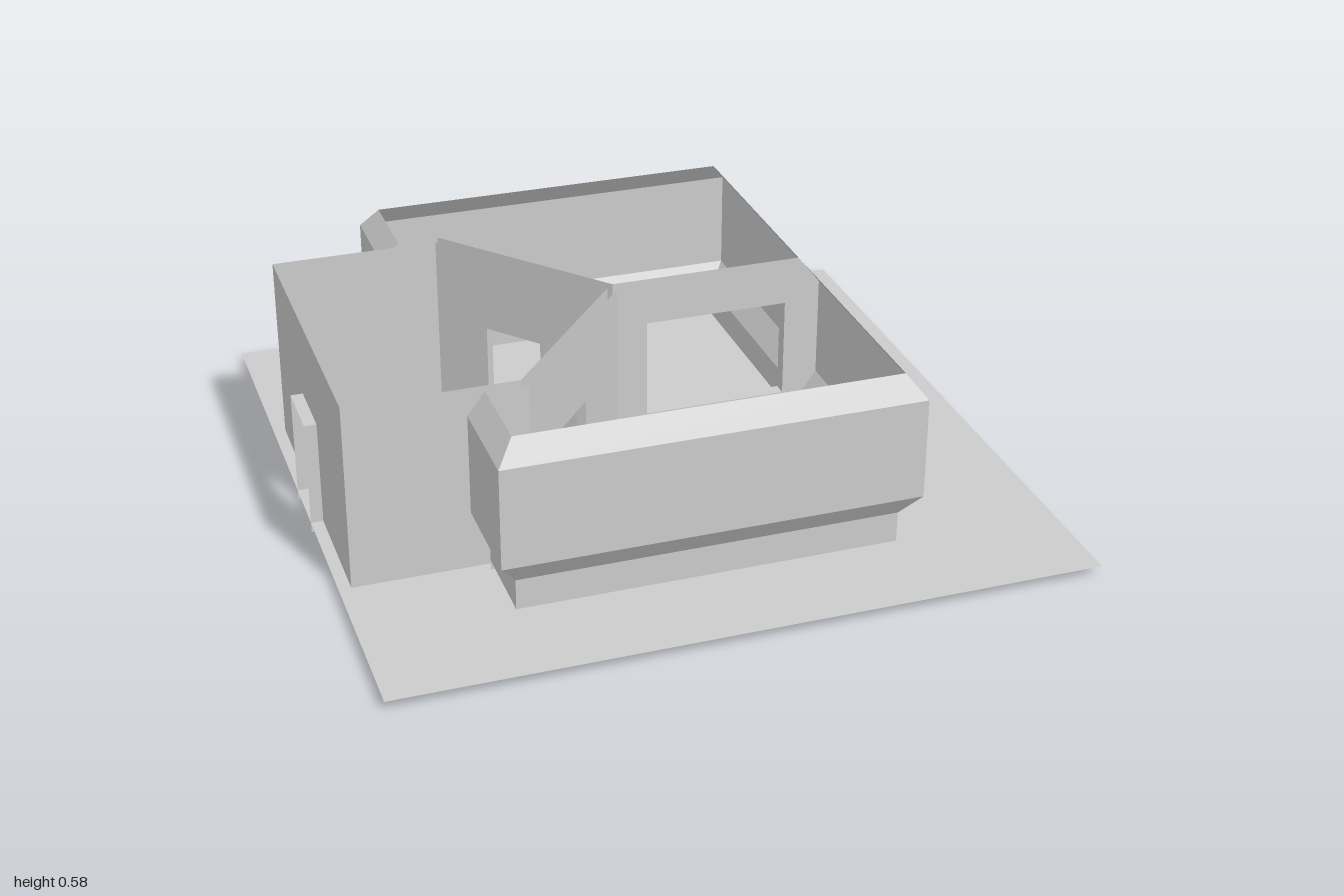
import * as THREE from 'three';

const TOP = 0.58, DOOR = 0.34;
const mat = new THREE.MeshStandardMaterial({ color: 0xcccccc, side: THREE.DoubleSide, flatShading: true });
// Hull cross-section: [inset from the widest outline, height]
const PROFILE = [[0.05, 0.06], [0.05, 0.15], [0, 0.22], [0, 0.515], [0.05, TOP]];
const END = [[0.05, 0], ...PROFILE.slice(1)];

function mesh(name, geometry) {
  const m = new THREE.Mesh(geometry, mat);
  m.name = name;
  return m;
}

// Flat-sided sheet from a list of four-cornered faces
function quads(name, faces) {
  const pos = [];
  for (const [a, b, c, d] of faces) pos.push(...a, ...b, ...c, ...a, ...c, ...d);
  const g = new THREE.BufferGeometry();
  g.setAttribute('position', new THREE.Float32BufferAttribute(pos, 3));
  g.computeVertexNormals();
  return mesh(name, g);
}

// Upright sheet starting at plan point a and heading to b; outline is [distance, height]
function wall(name, a, b, outline, hole) {
  const shape = new THREE.Shape(outline.map(p => new THREE.Vector2(...p)));
  if (hole) shape.holes.push(new THREE.Path(hole.map(p => new THREE.Vector2(...p))));
  const dir = new THREE.Vector3(b[0] - a[0], 0, b[1] - a[1]).normalize();
  const up = new THREE.Vector3(0, 1, 0);
  const g = new THREE.ShapeGeometry(shape);
  g.applyMatrix4(new THREE.Matrix4()
    .makeBasis(dir, up, new THREE.Vector3().crossVectors(dir, up))
    .setPosition(a[0], 0, a[1]));
  return mesh(name, g);
}

const dist = (a, b) => Math.hypot(b[0] - a[0], b[1] - a[1]);
const plain = len => [[0, 0], [len, 0], [len, TOP], [0, TOP]];
const withDoor = (len, d0, d1) =>
  [[0, 0], [d0, 0], [d0, DOOR], [d1, DOOR], [d1, 0], [len, 0], [len, TOP], [0, TOP]];

// Lining of an opening between sheet edges p0-p1 and q0-q1
function lining(name, p0, p1, q0, q1, y0, y1, sill) {
  const at = (p, y) => [p[0], y, p[1]];
  const jamb = (p, q) => [at(p, y0), at(q, y0), at(q, y1), at(p, y1)];
  const slab = y => [at(p0, y), at(p1, y), at(q1, y), at(q0, y)];
  const faces = [jamb(p0, q0), jamb(p1, q1), slab(y1)];
  if (sill) faces.push(slab(y0));
  return quads(name, faces);
}

// One side room: s = 1 for the front, -1 for the back
function room(s) {
  const g = new THREE.Group();
  g.name = s > 0 ? 'frontRoom' : 'backRoom';

  // Bevelled outer hull, mitred at the corners
  const plan = i => [[-0.635 + i, 0.49], [-0.635 + i, 0.795 - i], [0.55 - i, 0.795 - i], [0.55 - i, 0.02]];
  const faces = [];
  for (let k = 0; k < PROFILE.length - 1; k++) {
    const [i0, y0] = PROFILE[k], [i1, y1] = PROFILE[k + 1];
    const lo = plan(i0).map(([x, z]) => [x, y0, z * s]);
    const hi = plan(i1).map(([x, z]) => [x, y1, z * s]);
    for (let j = 0; j < 3; j++) faces.push([lo[j], lo[j + 1], hi[j + 1], hi[j]]);
  }
  g.add(quads('hull', faces));

  // Middle partition with its window, its outer end following the hull
  const inner = [-0.07, 0.02 * s], corner = [-0.465, 0.49 * s];
  const end = END.map(([i, y]) => [0.62 - i, y]);
  g.add(wall('partition', inner, [0.55, 0.02 * s],
    [[0, 0], ...end, [0, TOP]],
    [[0.09, 0.165], [0.09, 0.46], [0.515, 0.46], [0.515, 0.165]]));

  // Short side wall
  const side = END.map(([i, y]) => [i, y]).reverse();
  g.add(wall('sideWall', [-0.635, 0.49 * s], corner, [...side, [0.17, 0], [0.17, TOP]]));

  // Slanted wall with a doorway
  g.add(wall('slantedWall', inner, corner, withDoor(dist(inner, corner), 0.235, 0.425)));
  return g;
}

// Entrance hall, pointed on the inside
function hall() {
  const g = new THREE.Group();
  g.name = 'entranceHall';
  const apex = [-0.092, 0];
  for (const s of [1, -1]) {
    const corner = [-0.479, 0.46 * s], outer = [-0.965, 0.46 * s];
    g.add(wall('hallSideWall', outer, corner, plain(dist(outer, corner))));
    g.add(wall('hallSlantedWall', apex, corner, withDoor(dist(apex, corner), 0.235, 0.425)));

    // Lining of the inner doorway
    const along = (p, d) => [p[0] - 0.643 * d, p[1] + 0.766 * d * s];
    const p = [-0.07, 0.02 * s];
    g.add(lining('innerDoorLining', along(p, 0.235), along(p, 0.425),
      along(apex, 0.235), along(apex, 0.425), 0, DOOR));
  }
  // Entrance wall and projecting door frame
  g.add(wall('entranceWall', [-0.965, -0.46], [-0.965, 0.46], withDoor(0.92, 0.365, 0.555)));
  g.add(lining('entranceFrame', [-0.965, -0.095], [-0.965, 0.095], [-1, -0.095], [-1, 0.095], 0, DOOR));
  return g;
}

export function createModel() {
  const model = new THREE.Group();
  model.name = 'building';

  // Ground sheet, slightly above the wall feet
  const ground = mesh('groundSheet', new THREE.PlaneGeometry(2, 2).rotateX(-Math.PI / 2));
  ground.position.y = 0.03;

  model.add(ground, room(1), room(-1), hall());
  model.add(lining('windowLining', [0.02, 0.02], [0.445, 0.02], [0.02, -0.02], [0.445, -0.02], 0.165, 0.46, true));
  return model;
}
